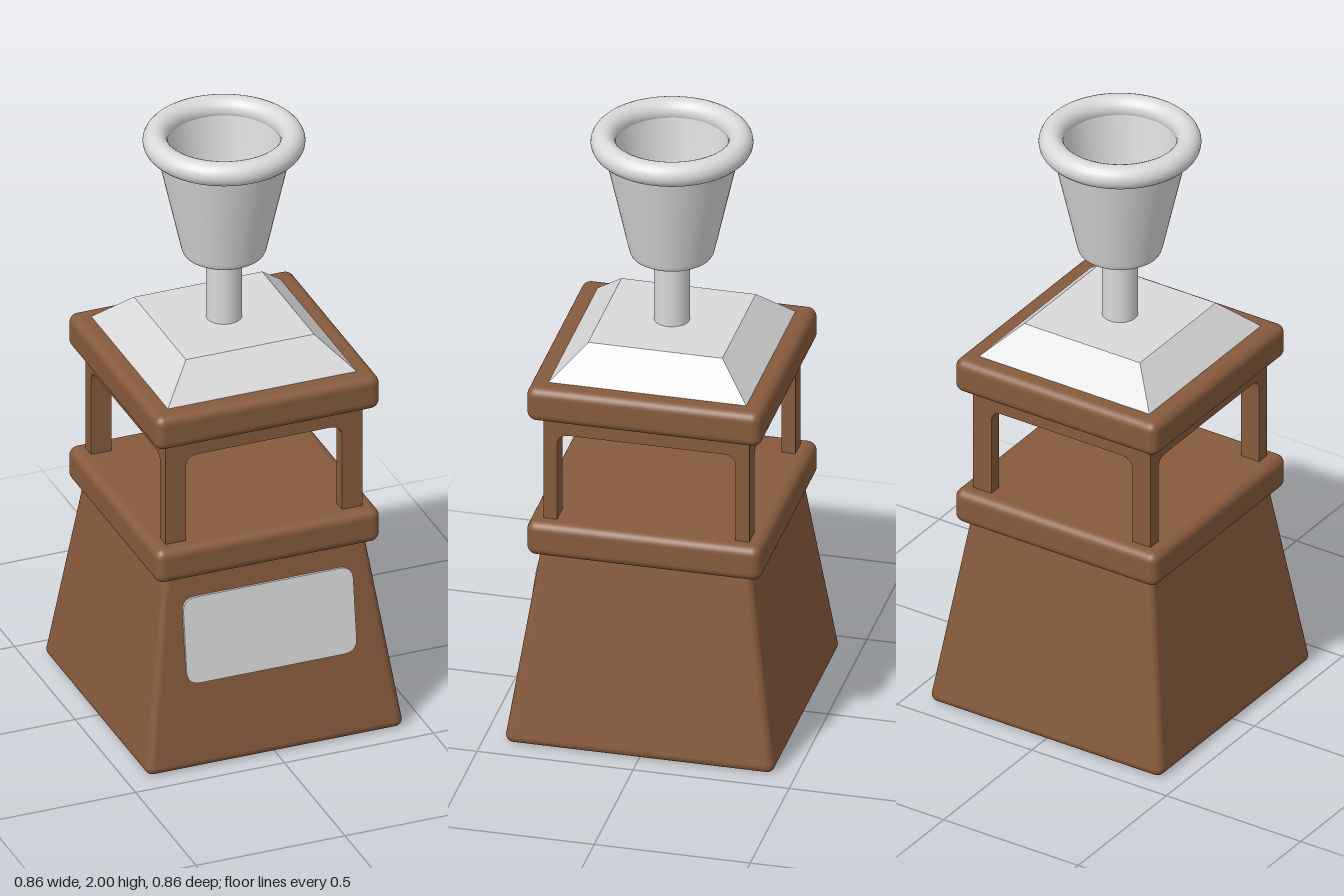
import * as THREE from 'three';
import { RoundedBoxGeometry } from 'three/addons/geometries/RoundedBoxGeometry.js';
import { mergeVertices } from 'three/addons/utils/BufferGeometryUtils.js';

export function createModel() {
  const wood = new THREE.MeshStandardMaterial({ name: 'brown wood', color: 0x875a3c });
  const metal = new THREE.MeshStandardMaterial({ name: 'light metal', color: 0xd9d9d9 });
  const model = new THREE.Group();
  model.name = 'grinder';

  const add = (name, geometry, material, x = 0, y = 0, z = 0) => {
    const mesh = new THREE.Mesh(geometry, material);
    mesh.name = name;
    mesh.position.set(x, y, z);
    model.add(mesh);
    return mesh;
  };

  // Tapered base: a rounded box narrowed towards the top
  const baseH = 0.7;
  let base = new RoundedBoxGeometry(2, baseH, 2, 5, 0.025);
  base.scale(0.434, 1, 0.434);
  base = new RoundedBoxGeometry(0.868, baseH, 0.868, 5, 0.028);
  base.translate(0, baseH / 2, 0);
  base.deleteAttribute('normal');
  base.deleteAttribute('uv');
  const p = base.attributes.position;
  for (let i = 0; i < p.count; i++) {
    const s = 1 - 0.336 * p.getY(i);
    p.setX(i, p.getX(i) * s);
    p.setZ(i, p.getZ(i) * s);
  }
  base = mergeVertices(base, 1e-5);
  base.computeVertexNormals();
  add('base', base, wood);

  // Front plate lying on the sloping face
  const w = 0.285, h = 0.144, r = 0.045;
  const plateShape = new THREE.Shape();
  plateShape.moveTo(-w + r, -h);
  plateShape.lineTo(w - r, -h);
  plateShape.quadraticCurveTo(w, -h, w, -h + r);
  plateShape.lineTo(w, h - r);
  plateShape.quadraticCurveTo(w, h, w - r, h);
  plateShape.lineTo(-w + r, h);
  plateShape.quadraticCurveTo(-w, h, -w, h - r);
  plateShape.lineTo(-w, -h + r);
  plateShape.quadraticCurveTo(-w, -h, -w + r, -h);
  const plateGeo = new THREE.ExtrudeGeometry(plateShape, { depth: 0.0095, bevelEnabled: false, curveSegments: 8 });
  plateGeo.translate(0, 0, -0.0095);
  const plate = add('frontPlate', plateGeo, metal, 0, 0.4275, 0.381);
  plate.rotation.x = -Math.atan(0.137);

  // Two rounded slabs
  const slab = new RoundedBoxGeometry(0.752, 0.118, 0.752, 5, 0.03);
  add('lowerSlab', slab, wood, 0, 0.701, 0);
  add('upperSlab', slab, wood, 0, 1.175, 0);

  // Open frame: four arched panels between the slabs
  const panel = (outer, open, depth) => {
    const top = 1.06, k = 0.04;
    const s = new THREE.Shape();
    s.moveTo(-outer, 0.75);
    s.lineTo(-open, 0.75);
    s.lineTo(-open, top - k);
    s.quadraticCurveTo(-open, top, -open + k, top);
    s.lineTo(open - k, top);
    s.quadraticCurveTo(open, top, open, top - k);
    s.lineTo(open, 0.75);
    s.lineTo(outer, 0.75);
    s.lineTo(outer, 1.13);
    s.lineTo(-outer, 1.13);
    s.closePath();
    const g = new THREE.ExtrudeGeometry(s, { depth, bevelEnabled: false, curveSegments: 8 });
    return g.translate(0, 0, 0.33 - depth);
  };
  const wide = panel(0.33, 0.262, 0.043);
  const side = panel(0.287, 0.286, 0.068);
  ['frontFrame', 'leftFrame', 'backFrame', 'rightFrame'].forEach((name, i) => {
    add(name, i % 2 ? side : wide, wood).rotation.y = i * Math.PI / 2;
  });

  // Metal lid: a square frustum
  const lid = new THREE.CylinderGeometry(0.215 * Math.SQRT2, 0.321 * Math.SQRT2, 0.105, 4).toNonIndexed();
  lid.rotateY(Math.PI / 4);
  lid.computeVertexNormals();
  add('lid', lid, metal, 0, 1.2825, 0);

  // Stem, its top showing inside the cup
  add('stem', new THREE.CylinderGeometry(0.056, 0.056, 0.28, 40), metal, 0, 1.465, 0);

  // Hollow cup, outer and inner walls separate so the edges stay crisp
  const lathe = pts => new THREE.LatheGeometry(pts.map(q => new THREE.Vector2(q[0], q[1])), 56);
  add('cupOuter', lathe([[0, 1.565], [0.116, 1.565], [0.122, 1.566], [0.128, 1.57], [0.132, 1.578],
    [0.135, 1.59], [0.212, 1.935], [0.212, 1.96]]), metal);
  add('cupInner', lathe([[0.18, 1.96], [0.177, 1.945], [0.117, 1.625], [0.114, 1.612], [0.109, 1.604],
    [0.1, 1.601], [0, 1.601]]), metal);

  // Rolled rim
  const rim = new THREE.TorusGeometry(0.2145, 0.039, 20, 64);
  rim.rotateX(Math.PI / 2);
  add('cupRim', rim, metal, 0, 1.961, 0);

  return model;
}
